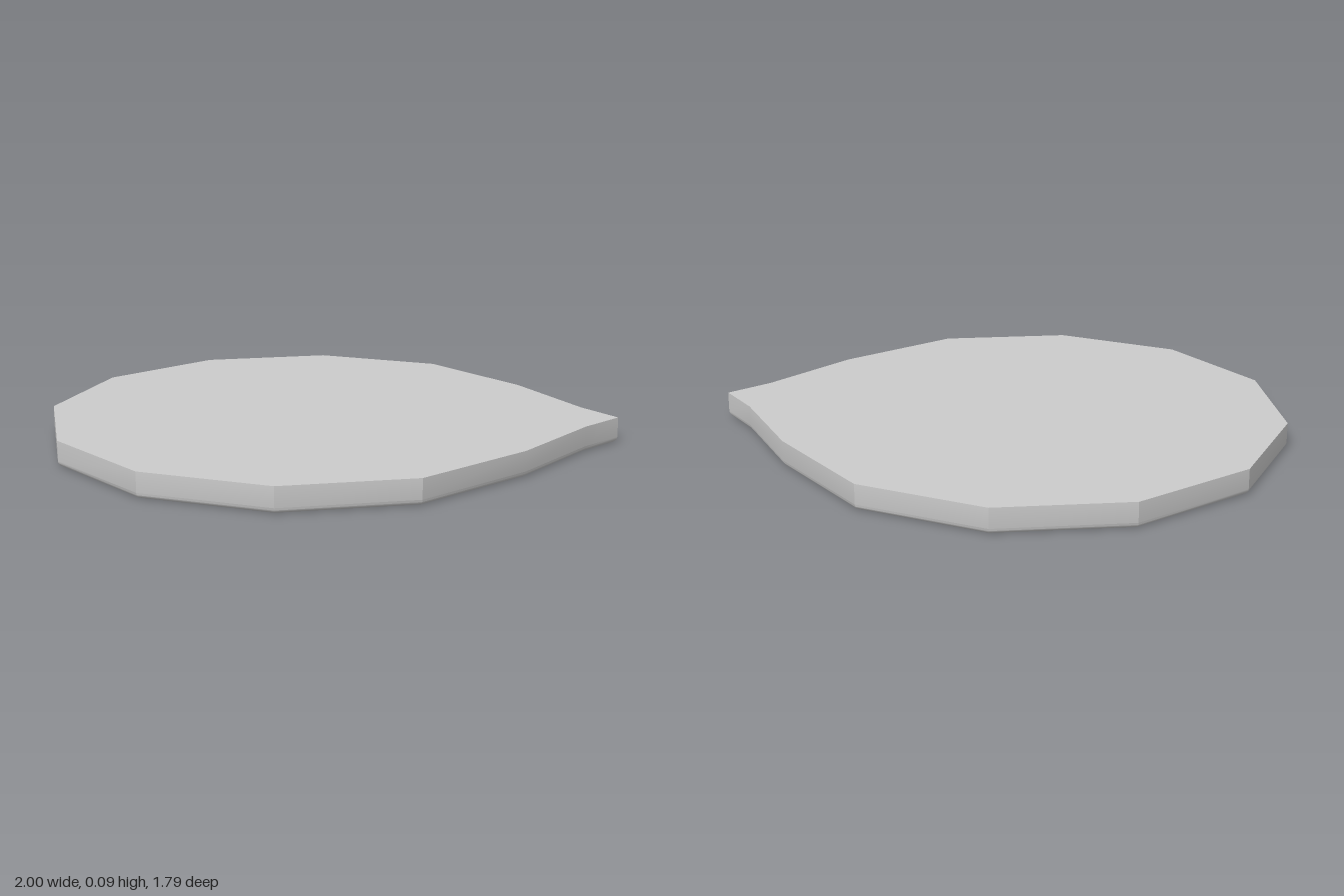
import * as THREE from 'three';
import { mergeVertices, toCreasedNormals } from 'three/addons/utils/BufferGeometryUtils.js';

const CENTRE = -0.107, RADIUS = 0.893, HEIGHT = 0.09, BEVEL = 0.02, DEPTH = 0.035;
const material = new THREE.MeshStandardMaterial({ color: 0xcccccc });

// Regular polygon in the (x, z) plane
function polygon(cx, cz, r, sides) {
  return Array.from({ length: sides }, (_, i) => {
    const a = (i / sides) * Math.PI * 2;
    return new THREE.Vector2(cx + r * Math.cos(a), cz + r * Math.sin(a));
  });
}

// Moves every side of a closed outline inward by d
function inset(points, d) {
  const n = points.length;
  return points.map((p, i) => {
    const e1 = p.clone().sub(points[(i + n - 1) % n]).normalize();
    const e2 = points[(i + 1) % n].clone().sub(p).normalize();
    const n1 = new THREE.Vector2(-e1.y, e1.x), n2 = new THREE.Vector2(-e2.y, e2.x);
    return n1.clone().add(n2).multiplyScalar(d / (1 + n1.dot(n2))).add(p);
  });
}

// Wall through rings of { points, y }: faces outward going up, inward going down
function wall(name, rings) {
  const n = rings[0].points.length, pos = [], index = [];
  rings.forEach(({ points, y }) => points.forEach((p) => pos.push(p.x, y, p.y)));
  for (let r = 0; r < rings.length - 1; r++) {
    for (let i = 0; i < n; i++) {
      const a = r * n + i, b = r * n + ((i + 1) % n);
      index.push(a, a + n, b, b, a + n, b + n);
    }
  }
  const geometry = new THREE.BufferGeometry();
  geometry.setAttribute('position', new THREE.Float32BufferAttribute(pos, 3));
  geometry.setIndex(index);
  return named(name, toCreasedNormals(mergeVertices(geometry), 0.45));
}

// Flat face at height y, looking up or down, with optional holes
function face(name, points, y, up, holes = []) {
  const place = (list) => list.map((p) => new THREE.Vector2(p.x, up ? -p.y : p.y));
  const shape = new THREE.Shape(place(points));
  shape.holes = holes.map((h) => new THREE.Path(place(h)));
  const geometry = new THREE.ShapeGeometry(shape);
  geometry.rotateX(up ? -Math.PI / 2 : Math.PI / 2).translate(0, y, 0);
  return named(name, geometry);
}

function named(name, geometry) {
  const mesh = new THREE.Mesh(geometry, material);
  mesh.name = name;
  return mesh;
}

export function createModel() {
  const model = new THREE.Group();
  model.name = 'spoutedPlate';

  // Twelve-sided outline whose +x corner is drawn out into a pointed spout
  const outline = polygon(CENTRE, 0, RADIUS, 12);
  outline.splice(0, 1, new THREE.Vector2(1, 0), new THREE.Vector2(0.88, 0.13));
  outline.push(new THREE.Vector2(0.88, -0.13));

  // Side wall with a rounded lower edge
  const rings = [];
  for (let i = 0; i <= 4; i++) {
    const a = (i / 4) * Math.PI / 2;
    rings.push({ points: inset(outline, BEVEL * (1 - Math.sin(a))), y: BEVEL * (1 - Math.cos(a)) });
  }
  rings.push({ points: outline, y: HEIGHT });
  model.add(wall('rim', rings), face('topFace', outline, HEIGHT, true));

  // Central recess, and a ring of round recesses facing the middles of the sides
  const recesses = [{ name: 'centreRecess', points: polygon(CENTRE, 0, 0.6, 12) }];
  for (let i = 0; i < 12; i++) {
    const a = ((i + 0.5) / 12) * Math.PI * 2;
    recesses.push({
      name: 'roundRecess' + (i + 1),
      points: polygon(CENTRE + 0.74 * Math.cos(a), 0.74 * Math.sin(a), 0.102, 32),
    });
  }
  model.add(face('underside', rings[0].points, 0, false, recesses.map((r) => r.points)));
  for (const { name, points } of recesses) {
    const recess = new THREE.Group();
    recess.name = name;
    recess.add(
      wall('recessWall', [{ points, y: DEPTH }, { points, y: 0 }]),
      face('recessFloor', points, DEPTH, false),
    );
    model.add(recess);
  }
  return model;
}
